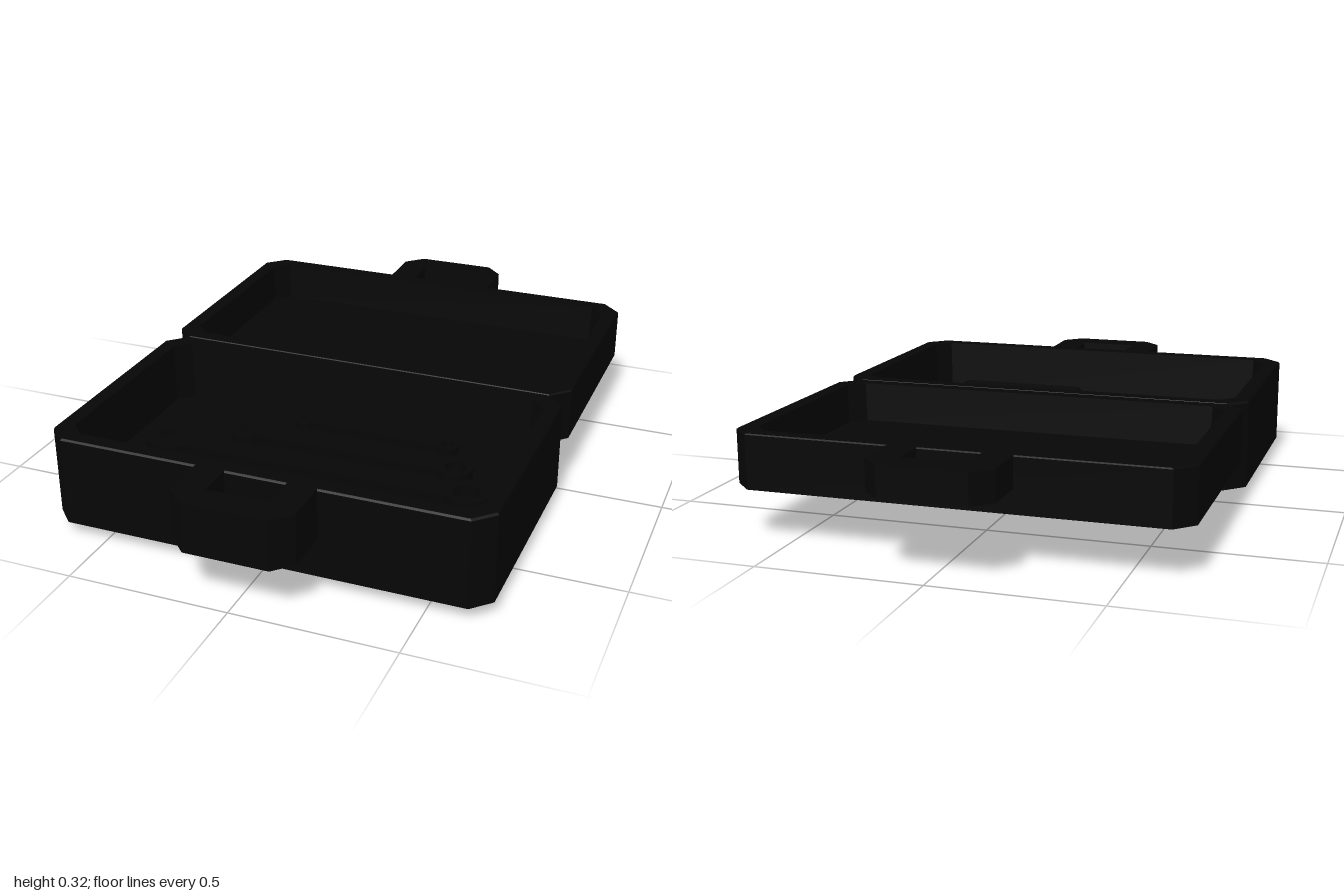
import * as THREE from 'three';

const black = new THREE.MeshStandardMaterial({ color: 0x060606, flatShading: true });
const FLOOR = 0.13, TOP = 0.32;

function mesh(name, geometry) {
  const m = new THREE.Mesh(geometry, black);
  m.name = name;
  return m;
}

// Rectangle with cut corners; c1 cuts the x1 side, c0 the x0 side
function cutRect(x0, x1, z0, z1, y, c1, c0 = c1) {
  return [
    [x0 + c0, y, z1], [x1 - c1, y, z1], [x1, y, z1 - c1], [x1, y, z0 + c1],
    [x1 - c1, y, z0], [x0 + c0, y, z0], [x0, y, z0 + c0], [x0, y, z1 - c0],
  ];
}

// Skin over a stack of 8-point rings, capped at both ends
function loft(rings) {
  const pos = [], index = [], n = 8;
  rings.forEach(r => r.forEach(p => pos.push(...p)));
  for (let k = 0; k < rings.length - 1; k++) {
    for (let i = 0; i < n; i++) {
      const a = k * n + i, b = k * n + (i + 1) % n;
      index.push(a, b, b + n, a, b + n, a + n);
    }
  }
  const last = (rings.length - 1) * n;
  for (let i = 1; i < n - 1; i++) {
    index.push(0, i + 1, i, last, last + i, last + i + 1);
  }
  const g = new THREE.BufferGeometry();
  g.setAttribute('position', new THREE.Float32BufferAttribute(pos, 3));
  g.setIndex(index);
  const flat = g.toNonIndexed();
  flat.computeVertexNormals();
  return flat;
}

// Extrudes a plan shape (x, z) downwards from y = top
function slab(shape, thickness, top) {
  const g = new THREE.ExtrudeGeometry(shape, { depth: thickness, bevelEnabled: false, curveSegments: 10 });
  return g.rotateX(Math.PI / 2).translate(0, top, 0);
}

// One half of the case: tray, two sloped feet with a groove between, handle
function caseHalf(name, floor) {
  const half = new THREE.Group();
  half.name = name;
  half.add(mesh('tray', loft([
    cutRect(-0.68, 0.68, 0, 0.8, 0.04, 0.057),
    cutRect(-0.68, 0.68, 0, 0.8, TOP - 0.006, 0.057),
    cutRect(-0.676, 0.676, 0.004, 0.796, TOP, 0.057),
    cutRect(-0.63, 0.63, 0.05, 0.75, TOP, 0.045),
    cutRect(-0.625, 0.625, 0.055, 0.745, floor, 0.045),
  ])));
  const foot = loft([
    cutRect(0.07, 0.58, 0.09, 0.7, 0, 0.04, 0.001),
    cutRect(0.025, 0.68, 0, 0.8, 0.04, 0.057, 0.001),
  ]);
  for (const side of [0, 1]) {
    const f = mesh(side ? 'rightFoot' : 'leftFoot', foot);
    if (side) {
      // The half turn swaps the two slopes, so mirror z back
      f.scale.x = -1;
    }
    half.add(f);
  }
  const u = [[-0.185, 0.79], [-0.185, 0.945], [-0.13, 1], [0.13, 1], [0.185, 0.945],
    [0.185, 0.79], [0.095, 0.79], [0.095, 0.91], [-0.095, 0.91], [-0.095, 0.79]];
  const shape = new THREE.Shape(u.map(p => new THREE.Vector2(...p)));
  half.add(mesh('handle', slab(shape, 0.156, TOP)));
  return half;
}

// Combination spanner: open jaw at xl, ring at xr
function spanner(name, xl, xr, z, jaw, ring, halfWidth, thickness) {
  const a = Math.asin(halfWidth / ring), b = Math.asin(halfWidth / jaw), s = 0.5;
  const gap = jaw * Math.sin(s);
  const shape = new THREE.Shape();
  shape.absarc(xr, 0, ring, -(Math.PI - a), Math.PI - a, false);
  shape.absarc(xl, 0, jaw, b, Math.PI - s, false);
  shape.lineTo(xl, gap);
  shape.lineTo(xl, -gap);
  shape.absarc(xl, 0, jaw, Math.PI + s, 2 * Math.PI - b, false);
  shape.closePath();
  const hole = new THREE.Path();
  hole.absarc(xr, 0, ring * 0.6, 0, Math.PI * 2, true);
  shape.holes.push(hole);
  const m = mesh(name, slab(shape, thickness, FLOOR + thickness));
  m.position.z = z;
  return m;
}

function screwdriver() {
  const g = new THREE.Group();
  g.name = 'screwdriver';
  const grip = mesh('screwdriverGrip', new THREE.LatheGeometry(
    [[0, 0], [0.032, 0], [0.045, 0.02], [0.045, 0.44], [0.036, 0.46], [0, 0.46]]
      .map(p => new THREE.Vector2(...p)), 8));
  const shaft = mesh('screwdriverShaft', new THREE.CylinderGeometry(0.016, 0.016, 0.42, 8).translate(0, -0.21, 0));
  const blade = mesh('screwdriverBlade', new THREE.BoxGeometry(0.012, 0.07, 0.04).translate(0, -0.44, 0));
  g.add(grip, shaft, blade);
  g.rotation.z = -Math.PI / 2;
  g.position.set(0.01, FLOOR + 0.04, 0.585);
  return g;
}

export function createModel() {
  const model = new THREE.Group();
  model.name = 'toolCase';

  model.add(caseHalf('base', FLOOR));

  // The lid is a shallower copy, opened out flat behind the base
  const lid = caseHalf('lid', 0.11);
  lid.rotation.y = Math.PI;
  lid.scale.y = 0.594;
  lid.position.y = 0.13;
  model.add(lid);

  const tools = new THREE.Group();
  tools.name = 'tools';
  tools.add(
    spanner('smallSpanner', -0.14, 0.34, 0.125, 0.035, 0.035, 0.018, 0.025),
    spanner('mediumSpanner', -0.28, 0.41, 0.265, 0.055, 0.055, 0.032, 0.03),
    spanner('largeSpanner', -0.48, 0.49, 0.405, 0.08, 0.07, 0.042, 0.035),
    screwdriver(),
  );
  model.add(tools);
  return model;
}
